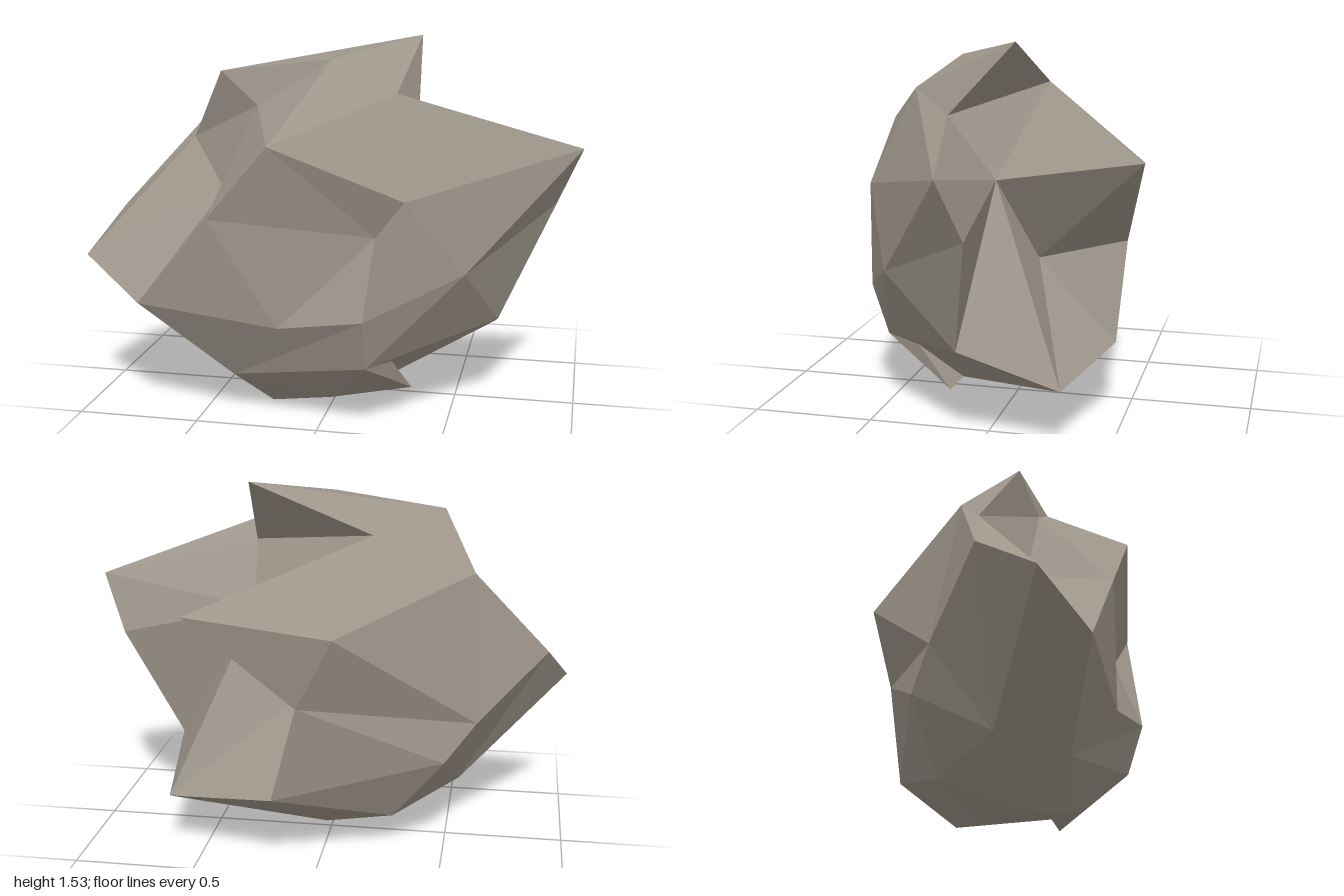
import * as THREE from 'three';

// Corner points of the boulder, grouped by region
const corners = {
  // left tip and flank
  A: [-1, .64, .36], b: [-.91, .81, .12], B: [-.73, .49, .51], U: [-.445, .91, .22], W: [-.615, 1.1, .065],
  // front bulge
  S: [-.42, .86, .56], R: [-.15, .425, .525], D: [-.165, 1.16, .6], T: [.23, .8, .48], E: [.35, .955, .53], C: [.2, .49, .59],
  // right lobe
  F: [.57, .65, .4], G: [1, 1.1, .055], H: [.9, .86, -.02], I: [.68, .38, .08], j: [.33, .985, .01],
  // crest
  V: [-.29, 1.265, .25], X: [-.455, 1.395, .2], Y: [.015, 1.455, .235], Z: [.33, 1.53, -.07],
  c: [.29, 1.34, .35], d: [.355, 1.24, .2], g: [-.185, 1.33, -.095], h: [-.595, 1.17, -.01],
  // back spur and notch
  e: [.485, 1.1, -.6], f: [-.08, 1.01, -.525], q: [.07, .71, -.48], r: [.18, .305, -.455],
  s: [.125, .63, -.12], J: [.64, .24, -.32], k: [-.625, .56, -.12], p: [-.5, .415, -.22],
  // underside
  K: [.34, .1, .205], L: [.28, .265, .36], M: [.2, .28, .52], N: [-.25, 0, .21], O: [-.375, .165, .37],
  P: [-.55, .22, .11], Q: [.03, .08, .33], m: [.01, .05, -.06], n: [-.285, .145, -.17], w: [.17, .1, .2],
};

// Facet fans: first letter is the hub, the rest run counter-clockwise round it
const fans = [
  'TSRCEDS', 'BRSU', 'CROM',                     // front bulge
  'ABUWbPB', 'VWUSDYXW', 'WXhb',                 // left flank
  'FCMIHGEC', 'jdGHIJ',                          // right lobe
  'cYDEGdZY', 'gXZdjefhX', 'XYZ',                // crest
  'kbhfqpPb', 'sejJrqe', 'eqf', 'qrp',           // back and notch
  'ORBPNQM', 'KMQwLM', 'LwJIM',                  // lower front and toe spike
  'nprmNPp', 'mrJwQN',                           // underside
];

export function createModel() {
  const positions = [];
  for (const [hub, ...ring] of fans) {
    for (let i = 0; i + 1 < ring.length; i++) {
      positions.push(...corners[hub], ...corners[ring[i]], ...corners[ring[i + 1]]);
    }
  }
  const geometry = new THREE.BufferGeometry();
  geometry.setAttribute('position', new THREE.Float32BufferAttribute(positions, 3));
  geometry.computeVertexNormals();

  const stone = new THREE.MeshStandardMaterial({ color: 0x9d958a });
  stone.name = 'stone';
  stone.flatShading = true;

  const boulder = new THREE.Mesh(geometry, stone);
  boulder.name = 'boulder';
  const group = new THREE.Group();
  group.name = 'rock';
  group.add(boulder);
  return group;
}
